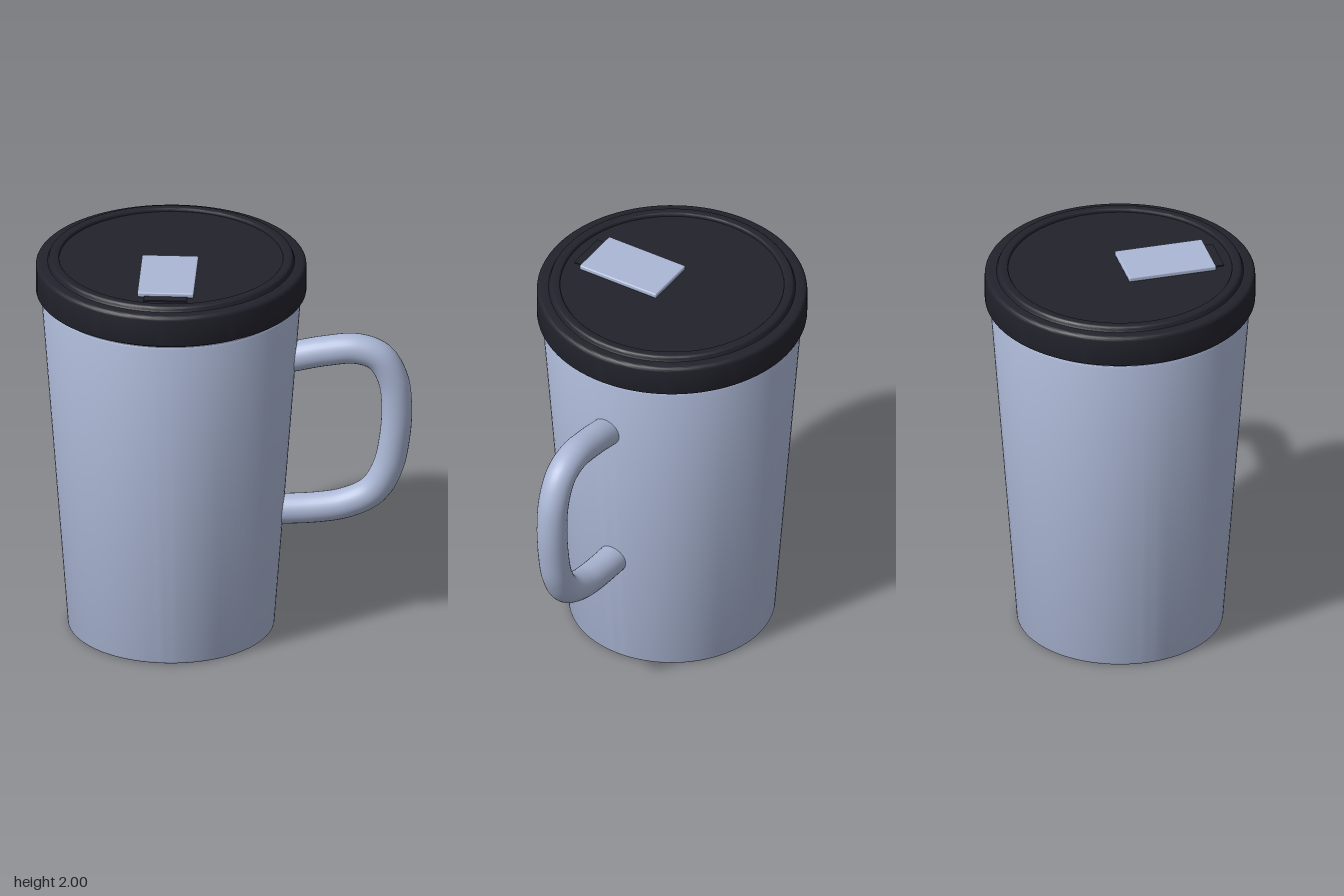
import * as THREE from 'three';
import { toCreasedNormals } from 'three/addons/utils/BufferGeometryUtils.js';
import { RoundedBoxGeometry } from 'three/addons/geometries/RoundedBoxGeometry.js';

const AXIS_X = -0.265; // cup axis; the handle balances it on +x

function part(name, geometry, material, x = 0, y = 0, z = 0) {
  const mesh = new THREE.Mesh(geometry, material);
  mesh.name = name;
  mesh.position.set(x, y, z);
  return mesh;
}

// Revolve [radius, y] points, keeping corners sharp
function turned(points) {
  const profile = points.map(([r, y]) => new THREE.Vector2(r, y));
  return toCreasedNormals(new THREE.LatheGeometry(profile, 96), 0.6);
}

// Quarter-round corner between two angles, as profile points
function corner(r, y, radius, from, to, steps = 5) {
  return Array.from({ length: steps + 1 }, (_, i) => {
    const a = from + ((to - from) * i) / steps;
    return [r + Math.cos(a) * radius, y + Math.sin(a) * radius];
  });
}

export function createModel() {
  const steel = new THREE.MeshStandardMaterial({ color: 0xabb7d5 });
  steel.name = 'blue grey';
  const plastic = new THREE.MeshStandardMaterial({ color: 0x22222c });
  plastic.name = 'dark plastic';
  const Q = Math.PI / 2;

  const model = new THREE.Group();
  model.name = 'travelMug';

  // Tapered cup with a hollow foot
  model.add(part('cup', turned([
    [0, 0.1], [0.508, 0.1], [0.5, 0],
    ...corner(0.502, 0.01, 0.01, -Q, 0, 3),
    [0.643, 1.775], [0.638, 1.787], [0.6, 1.787],
  ]), steel, AXIS_X));

  // Lid: neck, wide rounded band, raised ring and shallow recess
  model.add(part('lid', turned([
    [0.6, 1.78], [0.632, 1.78], [0.632, 1.8],
    ...corner(0.652, 1.818, 0.018, -Q, 0),
    ...corner(0.648, 1.945, 0.022, 0, Q),
    [0.612, 1.967],
    ...corner(0.59, 1.975, 0.017, 0, Q),
    ...corner(0.565, 1.982, 0.01, Q, 2 * Q, 3),
    [0.555, 1.975], [0, 1.975],
  ]), plastic, AXIS_X));

  // Drinking slot and the sliding cover over it
  model.add(part('drinkSlot', new THREE.BoxGeometry(0.215, 0.008, 0.2), plastic, -0.267, 1.977, 0.405));
  model.add(part('slider', new RoundedBoxGeometry(0.28, 0.026, 0.448, 3, 0.008), steel, -0.268, 1.987, 0.233));

  // Handle: round tube swept along a D-shaped curve
  const path = new THREE.CatmullRomCurve3([
    [0.25, 1.437], [0.36, 1.463], [0.5, 1.493], [0.66, 1.508], [0.77, 1.465],
    [0.835, 1.35], [0.854, 1.2], [0.842, 1.02], [0.806, 0.86],
    [0.73, 0.735], [0.6, 0.667], [0.45, 0.638], [0.2, 0.622],
  ].map(([x, y]) => new THREE.Vector3(x, y, 0)));
  model.add(part('handle', new THREE.TubeGeometry(path, 80, 0.076, 28), steel));

  return model;
}
